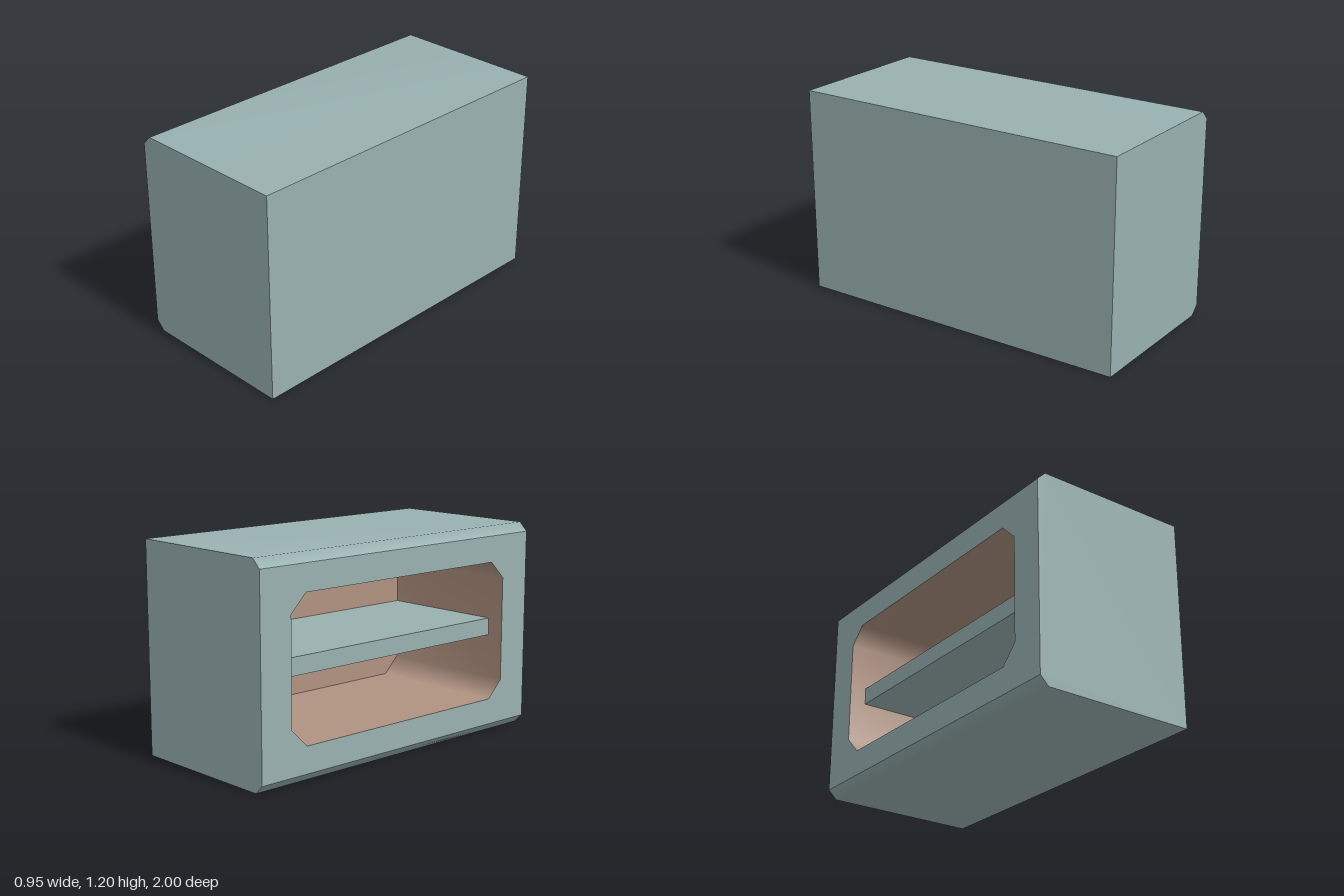
import * as THREE from 'three';

const W = 0.475, H = 1.2, D = 1, C = 0.05; // half width, height, half depth, edge chamfer
const BACK = 0.375; // inner back wall of the recess

// Smooth surface between two matching rows of points
function sheet(rowA, rowB, closed = false) {
  const n = rowA.length, index = [];
  for (let i = 0; i < (closed ? n : n - 1); i++) {
    const j = (i + 1) % n;
    index.push(i, n + i, j, n + i, n + j, j);
  }
  const geo = new THREE.BufferGeometry();
  geo.setAttribute('position', new THREE.Float32BufferAttribute([...rowA, ...rowB].flat(), 3));
  geo.setIndex(index);
  geo.computeVertexNormals();
  return geo;
}

// Sweep an x,y profile over the full depth
const sweep = (pts) => sheet(pts.map(([x, y]) => [x, y, D]), pts.map(([x, y]) => [x, y, -D]));

const toShape = (pts) => new THREE.Shape(pts.map(([x, y]) => new THREE.Vector2(x, y)));

export function createModel() {
  const group = new THREE.Group();
  const shell = new THREE.MeshStandardMaterial({ name: 'greyTeal', color: 0x98b1b0 });
  const lining = new THREE.MeshStandardMaterial({ name: 'warmBrown', color: 0xb09281 });
  const add = (name, geo, mat) => {
    const mesh = new THREE.Mesh(geo, mat);
    mesh.name = name;
    group.add(mesh);
    return mesh;
  };

  // Outer shell: top and bottom flow into the chamfers on the open side
  add('topPanel', sweep([[W, H], [C - W, H], [-W, H - C]]), shell);
  add('bottomPanel', sweep([[-W, C], [C - W, 0], [W, 0]]), shell);
  add('closedSide', sweep([[W, 0], [W, H]]), shell);

  // End panels
  const end = [[W, 0], [W, H], [C - W, H], [-W, H - C], [-W, C], [C - W, 0]];
  add('frontPanel', new THREE.ShapeGeometry(toShape(end)), shell).position.z = D;
  const rear = end.map(([x, y]) => [-x, y]);
  const rearPanel = add('backPanel', new THREE.ShapeGeometry(toShape(rear)), shell);
  rearPanel.rotation.y = Math.PI;
  rearPanel.position.z = -D;

  // Open side with a chamfered opening, outlined as z,y
  const opening = [[0.7, 0.2], [-0.7, 0.2], [-0.8, 0.3], [-0.8, 0.9],
    [-0.7, 1], [0.7, 1], [0.8, 0.9], [0.8, 0.3]];
  const face = toShape([[-D, C], [D, C], [D, H - C], [-D, H - C]]);
  face.holes.push(toShape(opening));
  add('openSide', new THREE.ShapeGeometry(face).rotateY(-Math.PI / 2), shell).position.x = -W;

  // Recess lining and its back wall
  const ring = (x) => opening.map(([z, y]) => [x, y, z]);
  add('recessLining', sheet(ring(-W), ring(BACK), true), lining);
  const wall = new THREE.ShapeGeometry(toShape(opening)).rotateY(-Math.PI / 2);
  add('recessBack', wall, lining).position.x = BACK;

  // Shelf across the middle of the recess
  const shelf = add('shelf', new THREE.BoxGeometry(2 * BACK, 0.1, 1.6), shell);
  shelf.position.y = 0.6;

  return group;
}
